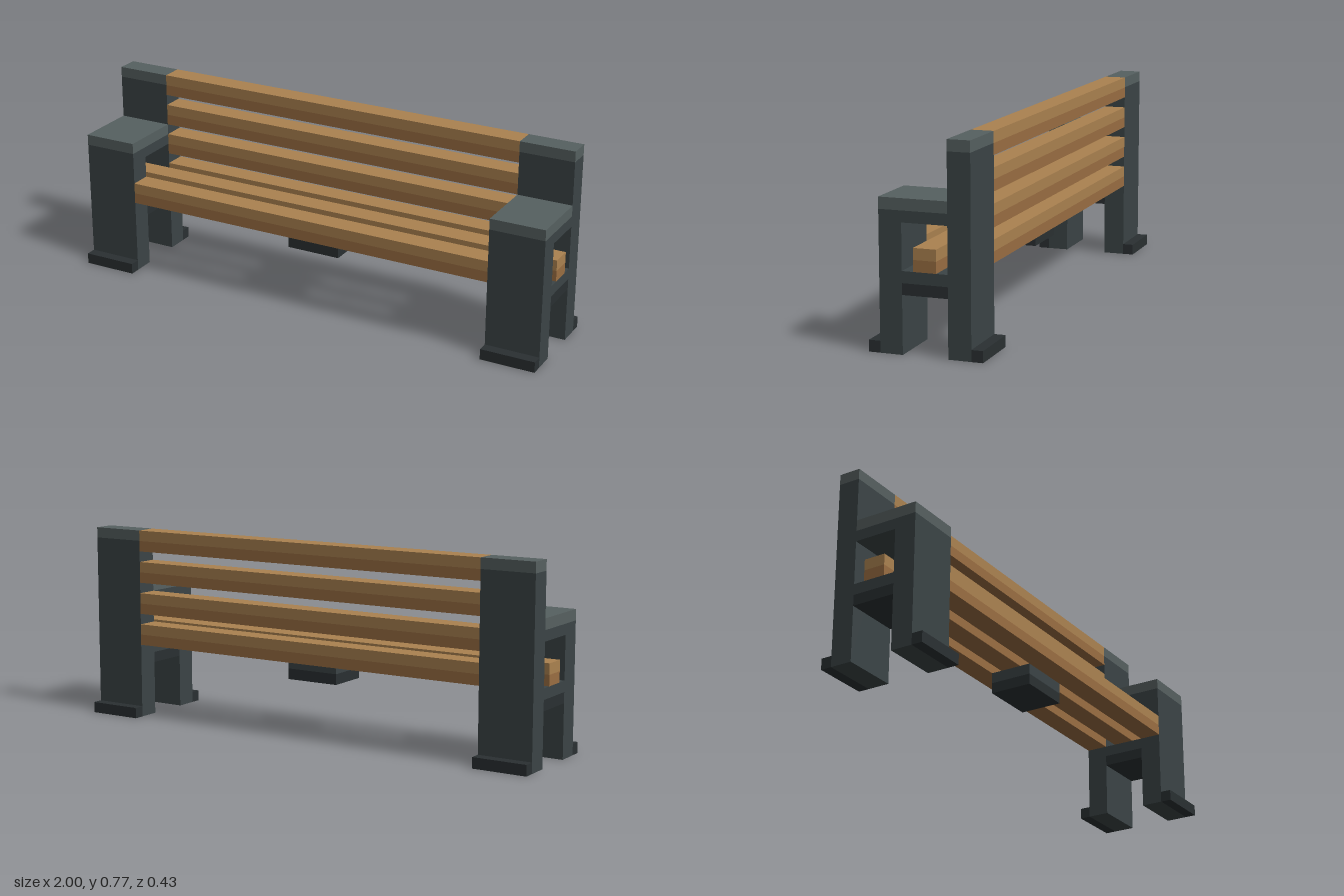
import * as THREE from 'three';

const material = (color) => new THREE.MeshStandardMaterial({ color, flatShading: true });

export function createModel() {
  const bench = new THREE.Group();
  bench.name = 'bench';

  const metalLight = material(0x566060);
  const metal = material(0x3b4446);
  const metalDark = material(0x2a3032);
  const woodLight = material(0xab8250);
  const wood = material(0x9a6e42);

  // Box given by its minimum and maximum on each axis
  function box(parent, name, mat, [x0, x1], [y0, y1], [z0, z1]) {
    const mesh = new THREE.Mesh(new THREE.BoxGeometry(x1 - x0, y1 - y0, z1 - z0), mat);
    mesh.position.set((x0 + x1) / 2, (y0 + y1) / 2, (z0 + z1) / 2);
    mesh.name = name;
    parent.add(mesh);
  }

  // Two-tone bar: lower half and upper half in different shades
  function bar(name, lower, upper, x, [y0, y1], z) {
    const group = new THREE.Group();
    group.name = name;
    const mid = (y0 + y1) / 2;
    box(group, name + 'Lower', lower, x, [y0, mid], z);
    box(group, name + 'Upper', upper, x, [mid, y1], z);
    bench.add(group);
  }

  const inner = 0.78;
  const a = 0.0855, b = 0.171, c = 0.214; // depth steps of the end frames

  // End frames, mirrored left and right
  for (const side of [-1, 1]) {
    const x = side > 0 ? [inner, 1] : [-1, -inner];
    const frame = new THREE.Group();
    frame.name = side > 0 ? 'leftFrame' : 'rightFrame';
    bench.add(frame);
    box(frame, 'frontPost', metal, x, [0, 0.471], [a, b]);
    box(frame, 'backPost', metal, x, [0, 0.728], [-b, -a]);
    box(frame, 'backPostCap', metalLight, x, [0.728, 0.77], [-b, -a]);
    box(frame, 'armrest', metal, x, [0.471, 0.513], [-a, b]);
    box(frame, 'armrestTop', metalLight, x, [0.513, 0.556], [-a, b]);
    box(frame, 'crossBeam', metal, x, [0.257, 0.3], [-a, a]);
    box(frame, 'crossBeamUnderside', metalDark, x, [0.215, 0.257], [-a, a]);
    box(frame, 'frontFoot', metalDark, x, [0, 0.043], [b, c]);
    box(frame, 'backFoot', metalDark, x, [0, 0.043], [-c, -b]);
  }

  // Backrest slats, the lowest level with the seat
  for (let i = 0; i < 4; i++) {
    const y = 0.3 + i * 0.1283;
    bar('backSlat', wood, woodLight, [-inner, inner], [y, y + 0.085], [-b, -a]);
  }

  // Seat slats; the middle one runs through both end frames
  bar('frontSeatSlat', wood, woodLight, [-inner, inner], [0.3, 0.385], [a, b]);
  bar('middleSeatSlat', wood, woodLight, [-1, 1], [0.3, 0.385], [-0.043, 0.043]);

  // Central brace under the seat
  bar('centreBrace', metalDark, metal, [-0.111, 0.111], [0.215, 0.3], [-a, a]);

  return bench;
}
